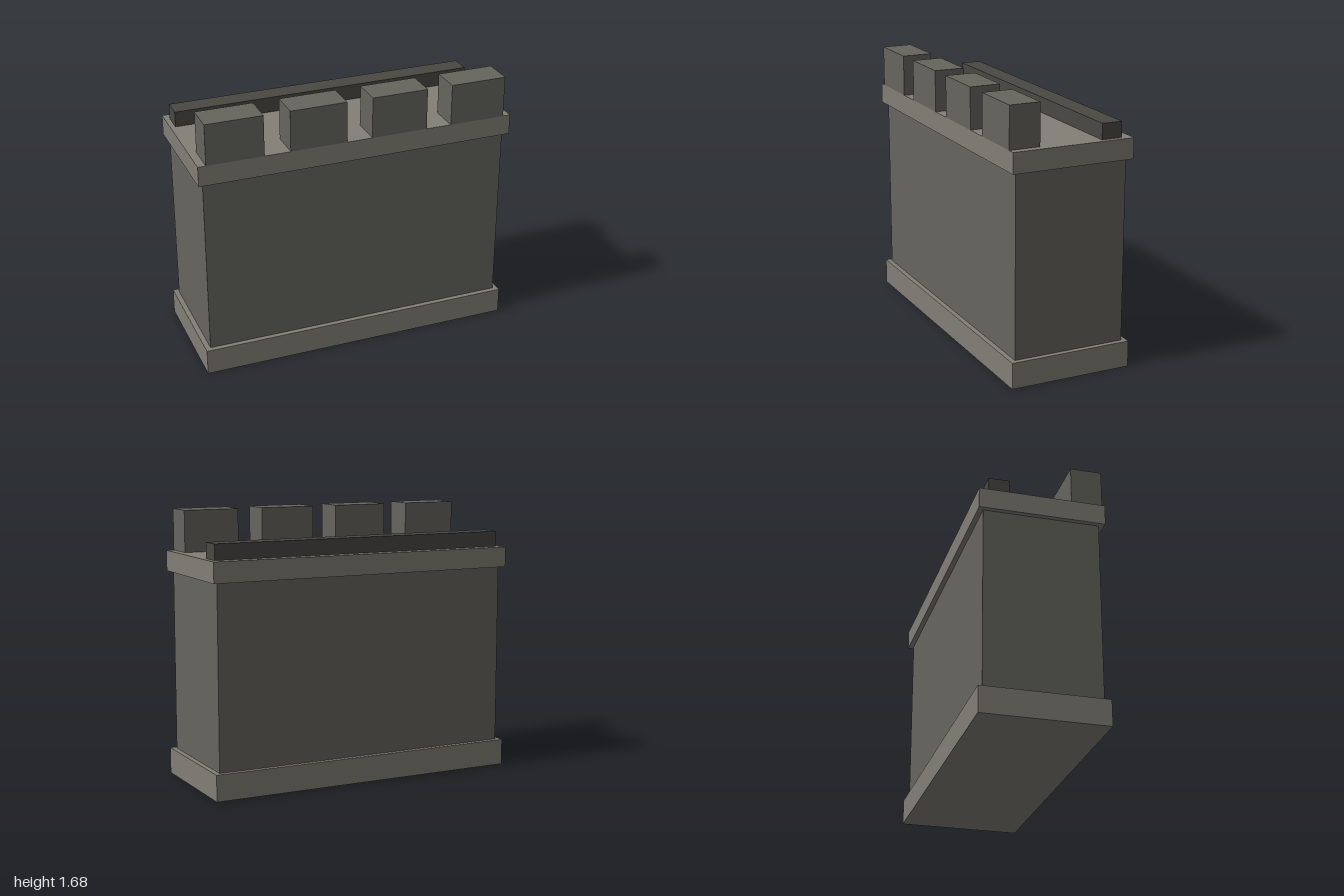
import * as THREE from 'three';

const stone = new THREE.MeshStandardMaterial({ color: 0x66655e });
const trim = new THREE.MeshStandardMaterial({ color: 0x827f76 });
const dark = new THREE.MeshStandardMaterial({ color: 0x4a4843 });

// Box given by its width, bottom and top heights, and back and front depths
function block(name, material, width, y0, y1, z0, z1, x = 0) {
  const mesh = new THREE.Mesh(new THREE.BoxGeometry(width, y1 - y0, z1 - z0), material);
  mesh.name = name;
  mesh.position.set(x, (y0 + y1) / 2, (z0 + z1) / 2);
  return mesh;
}

export function createModel() {
  const wall = new THREE.Group();
  wall.name = 'battlementWall';

  // Wall body between a projecting plinth and walkway slab
  wall.add(block('plinth', trim, 2, 0, 0.163, -0.387, 0.387));
  wall.add(block('wallBody', stone, 1.936, 0.01, 1.41, -0.355, 0.355));
  wall.add(block('walkway', trim, 2, 1.293, 1.42, -0.387, 0.387));

  // Low parapet along the back
  wall.add(block('rearParapet', dark, 1.936, 1.42, 1.517, -0.323, -0.194));

  // Row of merlons along the front edge
  const merlons = new THREE.Group();
  merlons.name = 'merlons';
  for (let i = 0; i < 4; i++) {
    merlons.add(block(`merlon${i + 1}`, stone, 0.355, 1.42, 1.678, 0.194, 0.387, (i - 1.5) * 0.516));
  }
  wall.add(merlons);
  return wall;
}
